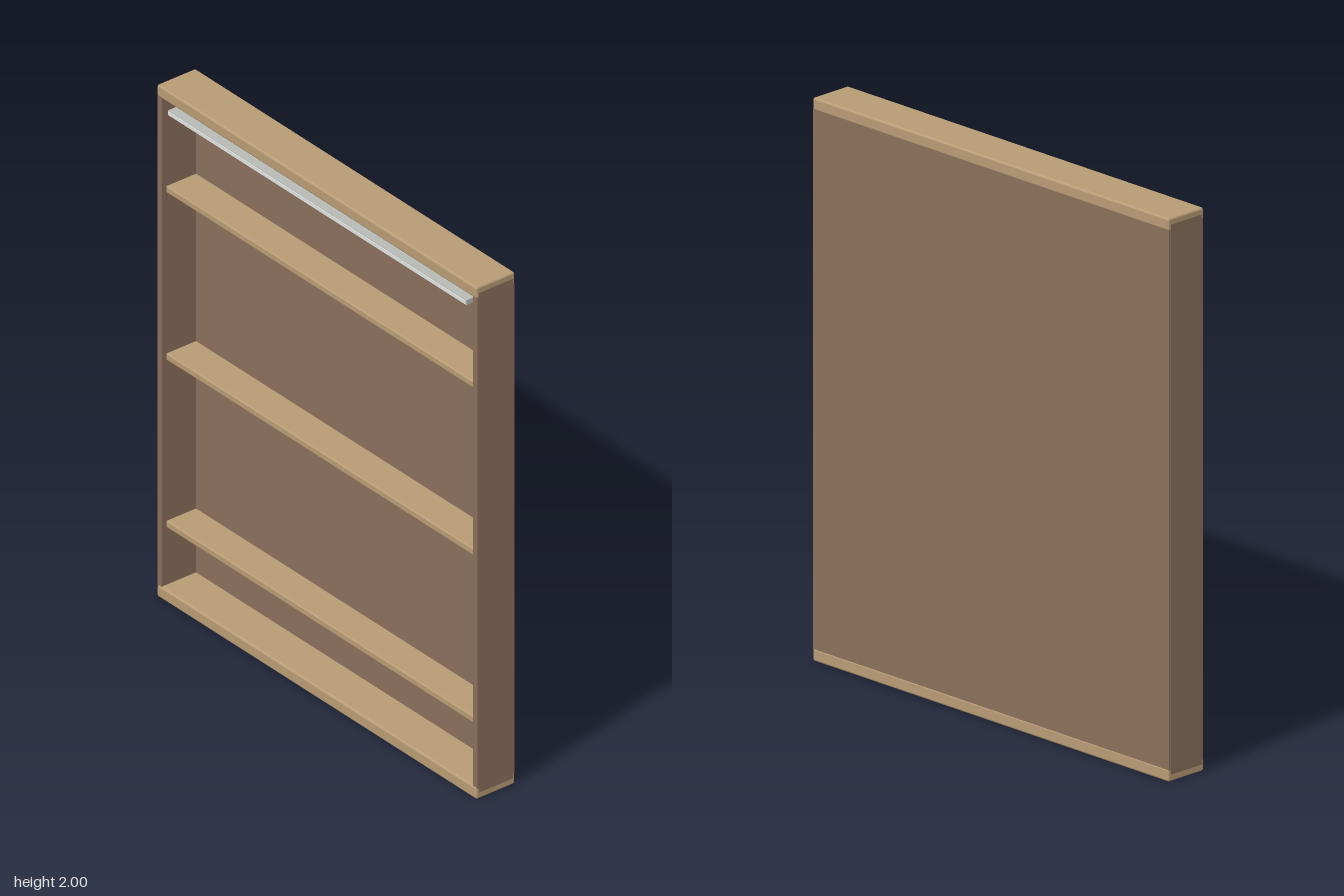
import * as THREE from 'three';
import { RoundedBoxGeometry } from 'three/addons/geometries/RoundedBoxGeometry.js';

const material = (name, color, side = THREE.FrontSide) => {
  const m = new THREE.MeshStandardMaterial({ color, side });
  m.name = name;
  return m;
};

export function createModel() {
  const group = new THREE.Group();
  group.name = 'wallShelfCabinet';
  const oak = material('lightOak', 0xb89b75);
  const brown = material('brownWood', 0x8b6f5c);
  const metal = material('brushedAluminium', 0xb8bab6);
  const diffuser = material('lightDiffuser', 0xdde2e0);

  const add = (name, geometry, mat, x = 0, y = 0, z = 0) => {
    const mesh = new THREE.Mesh(geometry, mat);
    mesh.name = name;
    mesh.position.set(x, y, z);
    group.add(mesh);
    return mesh;
  };
  // Box given by its lower and upper limits, with optional softened edges
  const block = (name, mat, [x0, x1], [y0, y1], [z0, z1], r = 0) => {
    const size = [x1 - x0, y1 - y0, z1 - z0];
    const geometry = r ? new RoundedBoxGeometry(...size, 2, r) : new THREE.BoxGeometry(...size);
    return add(name, geometry, mat, (x0 + x1) / 2, (y0 + y1) / 2, (z0 + z1) / 2);
  };

  // Top and bottom boards
  block('topBoard', oak, [-0.847, 0.847], [1.955, 2], [-0.083, 0.083], 0.008);
  block('bottomBoard', oak, [-0.847, 0.847], [0, 0.046], [-0.083, 0.083], 0.008);

  // Back panel
  block('backPanel', brown, [-0.84, 0.84], [0.035, 1.965], [-0.0815, -0.068]);

  // Side panels with tenons showing at the board ends
  for (const s of [-1, 1]) {
    const span = (a, b) => (s > 0 ? [a, b] : [-b, -a]);
    const side = s > 0 ? 'left' : 'right';
    block(side + 'Panel', brown, span(0.825, 0.847), [0.04, 1.96], [-0.0812, 0.08], 0.002);
    block(side + 'PanelTenon', brown, span(0.83, 0.848), [0.025, 1.977], [-0.073, 0.073]);
  }

  // Triangular shelf bracket, profile in depth and height
  const profile = new THREE.Shape();
  profile.moveTo(0, 0);
  profile.lineTo(0.07, 0);
  profile.lineTo(0.07, -0.012);
  profile.lineTo(0.012, -0.078);
  profile.lineTo(0, -0.078);
  profile.closePath();
  const bracket = new THREE.ExtrudeGeometry(profile, { depth: 0.02, bevelEnabled: false });
  bracket.translate(0, 0, -0.01);
  bracket.rotateY(-Math.PI / 2);

  // Three shelves, each on two brackets
  for (const top of [0.298, 0.952, 1.606]) {
    block('shelf', oak, [-0.825, 0.825], [top - 0.026, top], [-0.069, 0.062], 0.005);
    for (const x of [-0.765, 0.765]) add('shelfBracket', bracket, brown, x, top - 0.025, -0.069);
  }

  // Light rail under the top board
  block('lightRail', metal, [-0.79, 0.79], [1.905, 1.924], [0.04, 0.08]);
  block('lightDiffuser', diffuser, [-0.788, 0.788], [1.908, 1.921], [0.08, 0.083]);

  return group;
}
